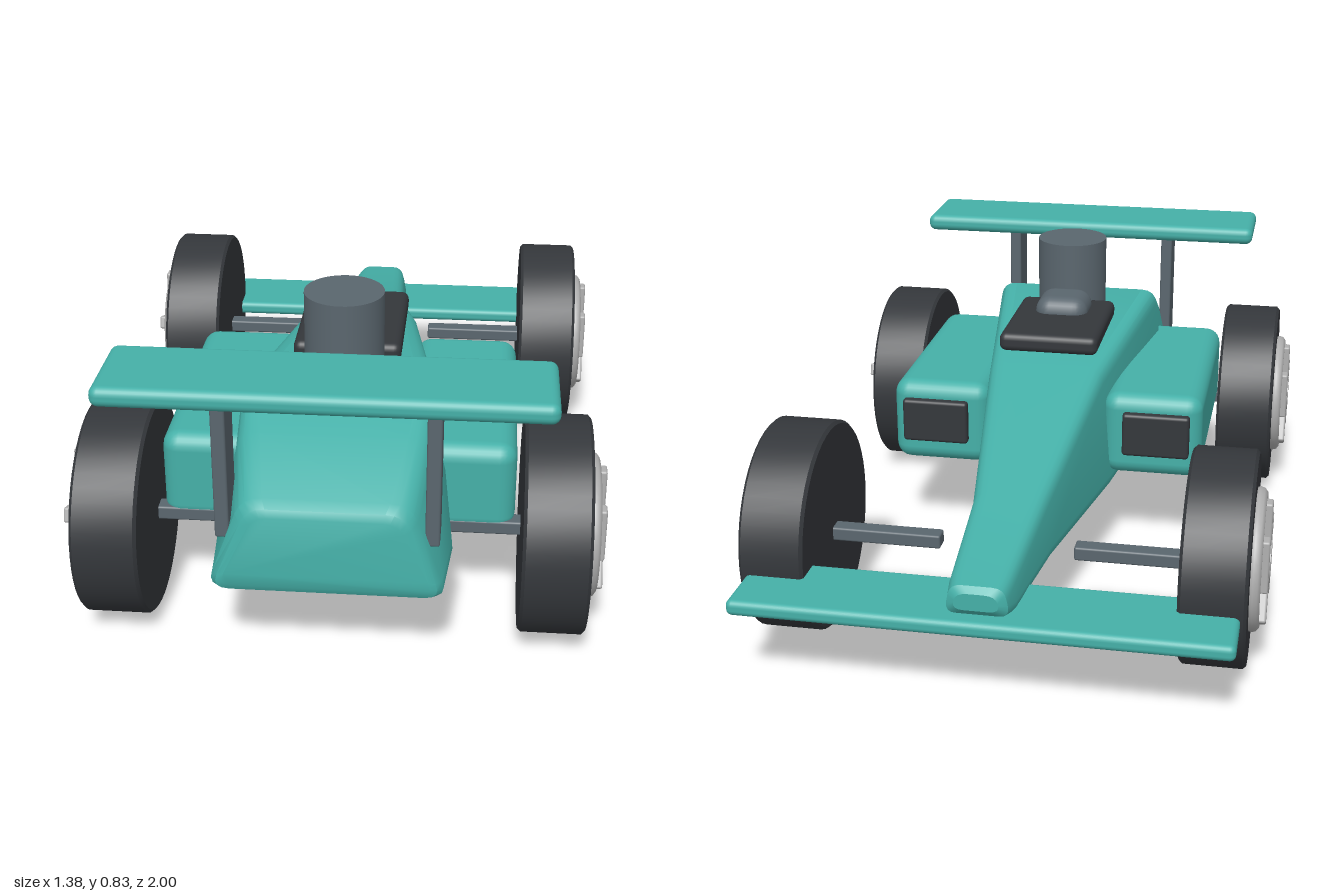
import * as THREE from 'three';
import { toCreasedNormals } from 'three/addons/utils/BufferGeometryUtils.js';
import { RoundedBoxGeometry } from 'three/addons/geometries/RoundedBoxGeometry.js';

const paint = (color) => new THREE.MeshStandardMaterial({ color });
const teal = paint(0x45b0a8), rubber = paint(0x34373b), steel = paint(0x5a666e), alloy = paint(0xb0b0b0);

function add(parent, name, geometry, material, x = 0, y = 0, z = 0) {
  const mesh = new THREE.Mesh(geometry, material);
  mesh.name = name;
  mesh.position.set(x, y, z);
  parent.add(mesh);
  return mesh;
}

const block = (w, h, d, r) => new RoundedBoxGeometry(w, h, d, 3, r);

// Rounded trapezoid, counter-clockwise, four points per corner
function section([z, y0, y1, w0, w1, r]) {
  const corners = [[-w0, y0], [w0, y0], [w1, y1], [-w1, y1]].map((c) => new THREE.Vector2(...c));
  const points = [];
  corners.forEach((c, i) => {
    const toward = (o) => {
      const d = o.clone().sub(c);
      return c.clone().add(d.setLength(Math.min(r, d.length() * 0.45)));
    };
    const curve = new THREE.QuadraticBezierCurve(toward(corners[(i + 3) % 4]), c, toward(corners[(i + 1) % 4]));
    curve.getPoints(4).forEach((p) => points.push([p.x, p.y, z]));
  });
  return points;
}

// Skin over sections in order of rising z, with closed ends
function loft(stations) {
  const rings = stations.map(section);
  const n = rings[0].length, last = (rings.length - 1) * n;
  const index = [];
  for (let i = 0; i < rings.length - 1; i++) {
    for (let j = 0; j < n; j++) {
      const a = i * n + j, b = i * n + (j + 1) % n;
      index.push(a, b, a + n, b, b + n, a + n);
    }
  }
  for (let j = 1; j < n - 1; j++) {
    index.push(0, j + 1, j, last, last + j, last + j + 1);
  }
  const geometry = new THREE.BufferGeometry();
  geometry.setAttribute('position', new THREE.Float32BufferAttribute(rings.flat(2), 3));
  geometry.setIndex(index);
  return toCreasedNormals(geometry, 0.5);
}

// Wheel with its outer face toward +x
function createWheel() {
  const wheel = new THREE.Group();
  wheel.name = 'wheel';
  const disc = (name, r, x0, x1, material) => {
    const g = new THREE.CylinderGeometry(r, r, x1 - x0, 48).rotateZ(Math.PI / 2);
    return add(wheel, name, g, material, (x0 + x1) / 2);
  };
  const tyre = [[0, -0.085], [0.275, -0.085], [0.283, -0.077], [0.283, 0.077], [0.275, 0.085], [0, 0.085]];
  const tyreGeometry = new THREE.LatheGeometry(tyre.map((p) => new THREE.Vector2(...p)), 48);
  add(wheel, 'tyre', toCreasedNormals(tyreGeometry.rotateZ(-Math.PI / 2), 0.6), rubber);
  disc('rimDisc', 0.165, 0.08, 0.1, steel);
  add(wheel, 'rimRing', new THREE.TorusGeometry(0.168, 0.02, 10, 48).rotateY(Math.PI / 2), alloy, 0.092);
  disc('hub', 0.052, 0.085, 0.13, alloy);
  // Five spokes; the rearward one stands upright
  for (let i = 0; i < 5; i++) {
    const a = Math.PI / 2 + i * Math.PI * 0.4;
    const spoke = add(wheel, 'spoke', block(0.03, 0.145, 0.04, 0.006), alloy,
      0.113, 0.093 * Math.sin(a), -0.093 * Math.cos(a));
    spoke.rotation.x = i === 1 ? 0 : Math.PI / 2 - a;
    if (i !== 1) spoke.rotation.x *= -1;
    if (i !== 1) spoke.rotation.x = Math.atan2(spoke.position.z, spoke.position.y);
  }
  return wheel;
}

export function createModel() {
  const car = new THREE.Group();
  car.name = 'racingCar';

  // Body: z, bottom, top, bottom half width, top half width, corner radius
  add(car, 'body', loft([
    [-0.965, 0.28, 0.325, 0.06, 0.05, 0.03],
    [-0.95, 0.262, 0.34, 0.082, 0.068, 0.03],
    [-0.9, 0.25, 0.347, 0.092, 0.075, 0.03],
    [-0.55, 0.225, 0.4, 0.118, 0.095, 0.035],
    [-0.02, 0.205, 0.567, 0.203, 0.165, 0.04],
    [0.57, 0.22, 0.635, 0.29, 0.25, 0.045],
    [0.74, 0.228, 0.568, 0.312, 0.235, 0.05],
    [0.93, 0.235, 0.492, 0.3, 0.205, 0.05],
    [0.953, 0.245, 0.475, 0.285, 0.19, 0.045],
    [0.962, 0.262, 0.455, 0.265, 0.175, 0.035],
  ]), teal);

  // Cockpit, headrest and intake
  add(car, 'cockpit', block(0.29, 0.055, 0.385, 0.02), rubber, 0, 0.627, 0.193);
  add(car, 'headrest', block(0.16, 0.1, 0.16, 0.045), steel, 0, 0.65, 0.285);
  add(car, 'airIntake', new THREE.CylinderGeometry(0.105, 0.105, 0.23, 40), steel, 0, 0.718, 0.443);

  // Wings
  add(car, 'rearWing', block(1.085, 0.052, 0.258, 0.022), teal, 0, 0.776, 0.87);
  add(car, 'frontWing', block(1.26, 0.042, 0.235, 0.016), teal, 0, 0.242, -0.882);

  // Paired parts
  for (const s of [1, -1]) {
    add(car, 'sidePod', block(0.29, 0.25, 0.695, 0.045), teal, s * 0.315, 0.375, 0.307);
    add(car, 'podInlet', block(0.195, 0.13, 0.04, 0.01), rubber, s * 0.328, 0.387, -0.043);
    add(car, 'wingStrut', block(0.036, 0.4, 0.11, 0.006), steel, s * 0.257, 0.57, 0.865);
    for (const z of [0.637, -0.574]) {
      add(car, 'axle', block(0.32, 0.038, 0.048, 0.006), steel, s * 0.34, 0.268, z > 0 ? 0.63 : -0.578);
      const wheel = createWheel();
      wheel.position.set(s * 0.56, 0.284, z);
      wheel.rotation.y = s > 0 ? 0 : Math.PI;
      car.add(wheel);
    }
  }
  return car;
}
